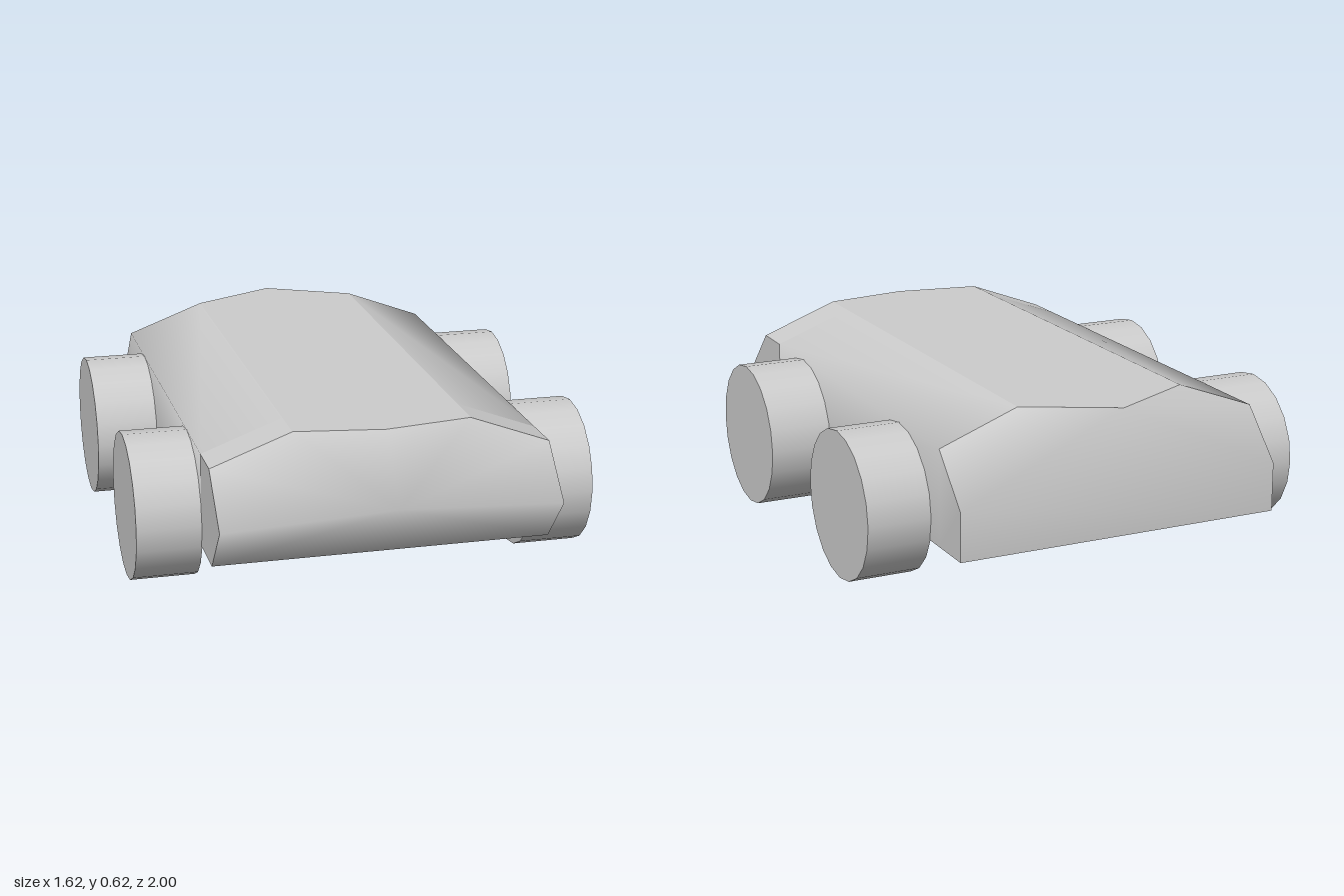
import * as THREE from 'three';
import { mergeVertices } from 'three/addons/utils/BufferGeometryUtils.js';

const material = new THREE.MeshStandardMaterial({ color: 0xcccccc });
const CENTRE = new THREE.Vector3(0, 0.4, 0);

// Fan each polygon into triangles facing away from the body's centre.
function panel(name, polygons, smooth) {
  const positions = [];
  for (const polygon of polygons) {
    const pts = polygon.map((p) => new THREE.Vector3(...p));
    for (let i = 1; i < pts.length - 1; i++) {
      const [a, b, c] = [pts[0], pts[i], pts[i + 1]];
      const normal = b.clone().sub(a).cross(c.clone().sub(a));
      const mid = a.clone().add(b).add(c).divideScalar(3).sub(CENTRE);
      const order = normal.dot(mid) > 0 ? [a, b, c] : [a, c, b];
      for (const v of order) positions.push(v.x, v.y, v.z);
    }
  }
  let geometry = new THREE.BufferGeometry();
  geometry.setAttribute('position', new THREE.Float32BufferAttribute(positions, 3));
  if (smooth) geometry = mergeVertices(geometry);
  geometry.computeVertexNormals();
  const mesh = new THREE.Mesh(geometry, material);
  mesh.name = name;
  return mesh;
}

export function createModel() {
  const model = new THREE.Group();
  model.name = 'car';

  const W = 0.585, ROOF = 0.305; // half widths of body and roof
  const FLOOR = 0.18, BELT = 0.35, SHOULDER = 0.515, TOP = 0.62;
  const FRONT = 0.78, BEND = 0.63, REAR = -0.84, END = -1;

  const body = new THREE.Group();
  body.name = 'body';
  model.add(body);

  const noseTip = [0, 0.4, 1], frontPeak = [0, TOP, 0.83], rearPeak = [0, TOP, END];

  // Roof, pointed at both ends, and floor
  body.add(panel('roof', [[
    frontPeak, [ROOF, TOP, FRONT], [ROOF, TOP, REAR], [0, TOP, REAR], [-ROOF, TOP, REAR], [-ROOF, TOP, FRONT],
  ], [
    rearPeak, [ROOF, TOP, REAR], [-ROOF, TOP, REAR],
  ]], false));
  body.add(panel('floor', [[
    [-W, FLOOR, 0.8], [W, FLOOR, 0.8], [W, FLOOR, END], [-W, FLOOR, END],
  ]], false));

  // Nose and tail are gathered side by side, then closed in the middle
  const nose = [[
    noseTip, [-W, BELT, 0.945], [-W, FLOOR, 0.8], [W, FLOOR, 0.8], [W, BELT, 0.945],
  ]];
  const tail = [
    [[-W, FLOOR, END], [W, FLOOR, END], [W, BELT, END], [-W, BELT, END]],
    [rearPeak, [W, BELT, END], [-W, BELT, END]],
  ];

  for (const s of [1, -1]) {
    const x = s * W, r = s * ROOF;
    const label = s > 0 ? 'left' : 'right';

    // Rounded side running into the sloping shoulder
    body.add(panel(label + 'Side', [
      [[x, FLOOR, BEND], [x, SHOULDER, BEND], [x, SHOULDER, REAR], [x, FLOOR, REAR]],
      [[x, SHOULDER, BEND], [r, TOP, BEND], [r, TOP, REAR], [x, SHOULDER, REAR]],
      [[x, FLOOR, REAR], [x, SHOULDER, REAR], [x, BELT, END], [x, FLOOR, END]],
    ], true));

    // Flat front fender
    body.add(panel(label + 'Fender', [
      [[x, FLOOR, BEND], [x, SHOULDER, BEND], [x, SHOULDER, FRONT], [x, BELT, 0.945], [x, FLOOR, 0.8]],
      [[x, SHOULDER, BEND], [r, TOP, BEND], [r, TOP, FRONT], [x, SHOULDER, FRONT]],
    ], false));

    nose.push(
      [noseTip, [x, BELT, 0.945], [x, SHOULDER, FRONT], [r, TOP, FRONT], frontPeak],
    );

    // The tail folds along a different diagonal on each side
    const corner = [x, BELT, END], shoulder = [x, SHOULDER, REAR], roof = [r, TOP, REAR];
    if (s > 0) tail.push([corner, shoulder, roof], [corner, roof, rearPeak]);
    else tail.push([shoulder, rearPeak, roof], [shoulder, corner, rearPeak]);
  }
  body.add(panel('nose', nose, true));
  body.add(panel('tail', tail, true));

  // Wheels
  const wheelGeometry = new THREE.CylinderGeometry(0.258, 0.258, 0.225, 20);
  wheelGeometry.rotateY(Math.PI / 2).rotateZ(Math.PI / 2);
  for (const [end, z] of [['front', 0.375], ['rear', -0.515]]) {
    for (const s of [1, -1]) {
      const wheel = new THREE.Mesh(wheelGeometry, material);
      wheel.name = end + (s > 0 ? 'Left' : 'Right') + 'Wheel';
      wheel.position.set(s * 0.695, 0.258, z);
      model.add(wheel);
    }
  }
  return model;
}
